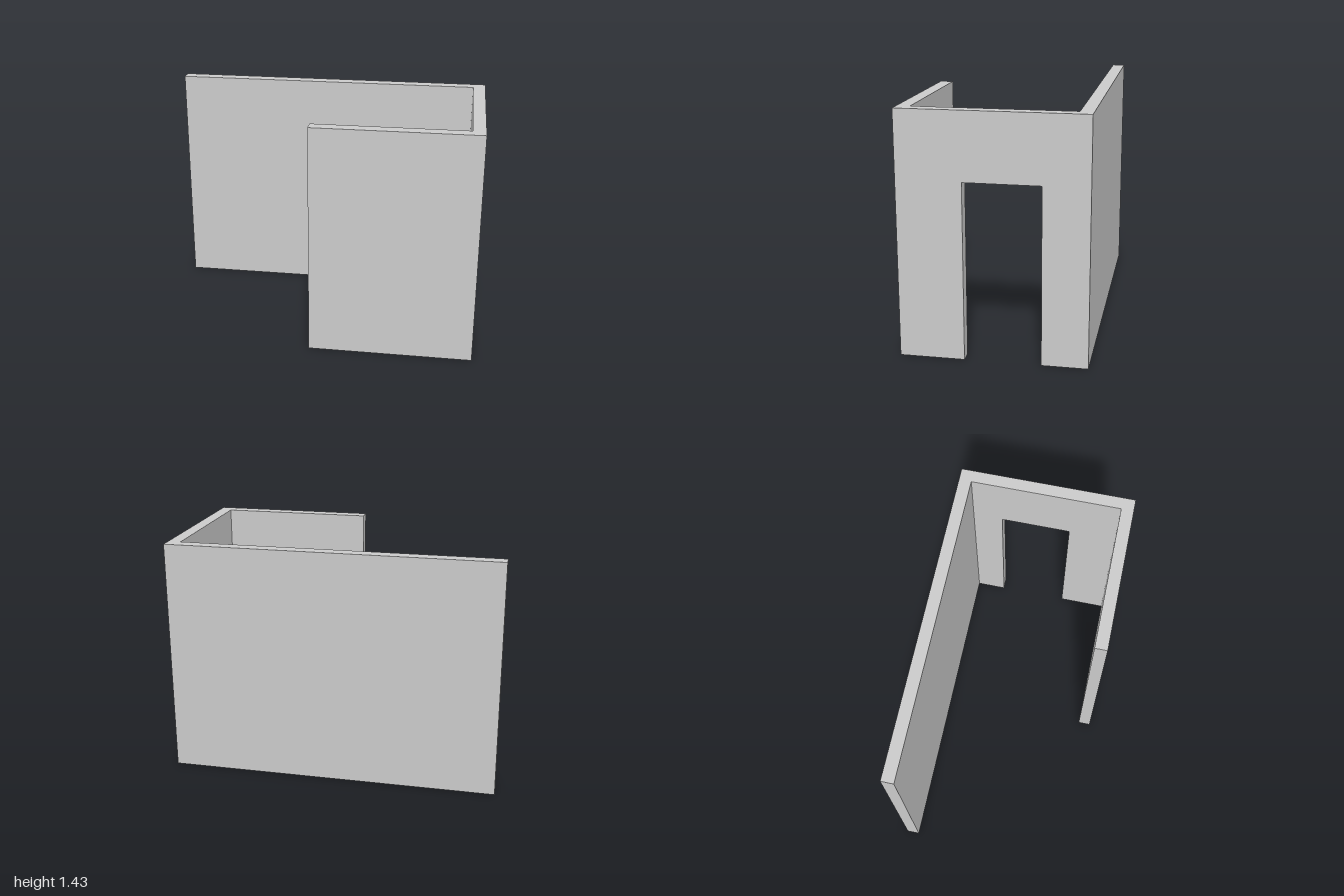
import * as THREE from 'three';

const HEIGHT = 1.43;
const THICK = 0.077;
const HALF_DEPTH = 0.54;
const DOOR = { back: -0.275, front: 0.165, top: 1.035 };

export function createModel() {
  const group = new THREE.Group();
  const material = new THREE.MeshStandardMaterial({ color: 0xcccccc, flatShading: true });

  // Straight wall along x, ending at the outer corner x = 1
  function addWall(name, startX, z) {
    const length = 1 - startX;
    const wall = new THREE.Mesh(new THREE.BoxGeometry(length, HEIGHT, THICK), material);
    wall.name = name;
    wall.position.set(startX + length / 2, HEIGHT / 2, z);
    group.add(wall);
  }
  addWall('backWall', -1, -HALF_DEPTH + THICK / 2);
  addWall('frontWall', 0, HALF_DEPTH - THICK / 2);

  // Side wall between the two, with a doorway open to the floor (shape x becomes z)
  const inner = HALF_DEPTH - THICK;
  const outline = new THREE.Shape([
    [-inner, 0], [DOOR.back, 0], [DOOR.back, DOOR.top], [DOOR.front, DOOR.top],
    [DOOR.front, 0], [inner, 0], [inner, HEIGHT], [-inner, HEIGHT],
  ].map(([z, y]) => new THREE.Vector2(z, y)));
  const sideWall = new THREE.Mesh(
    new THREE.ExtrudeGeometry(outline, { depth: THICK, bevelEnabled: false }), material);
  sideWall.name = 'doorwayWall';
  sideWall.rotation.y = -Math.PI / 2;
  sideWall.position.x = 1;
  group.add(sideWall);

  return group;
}
